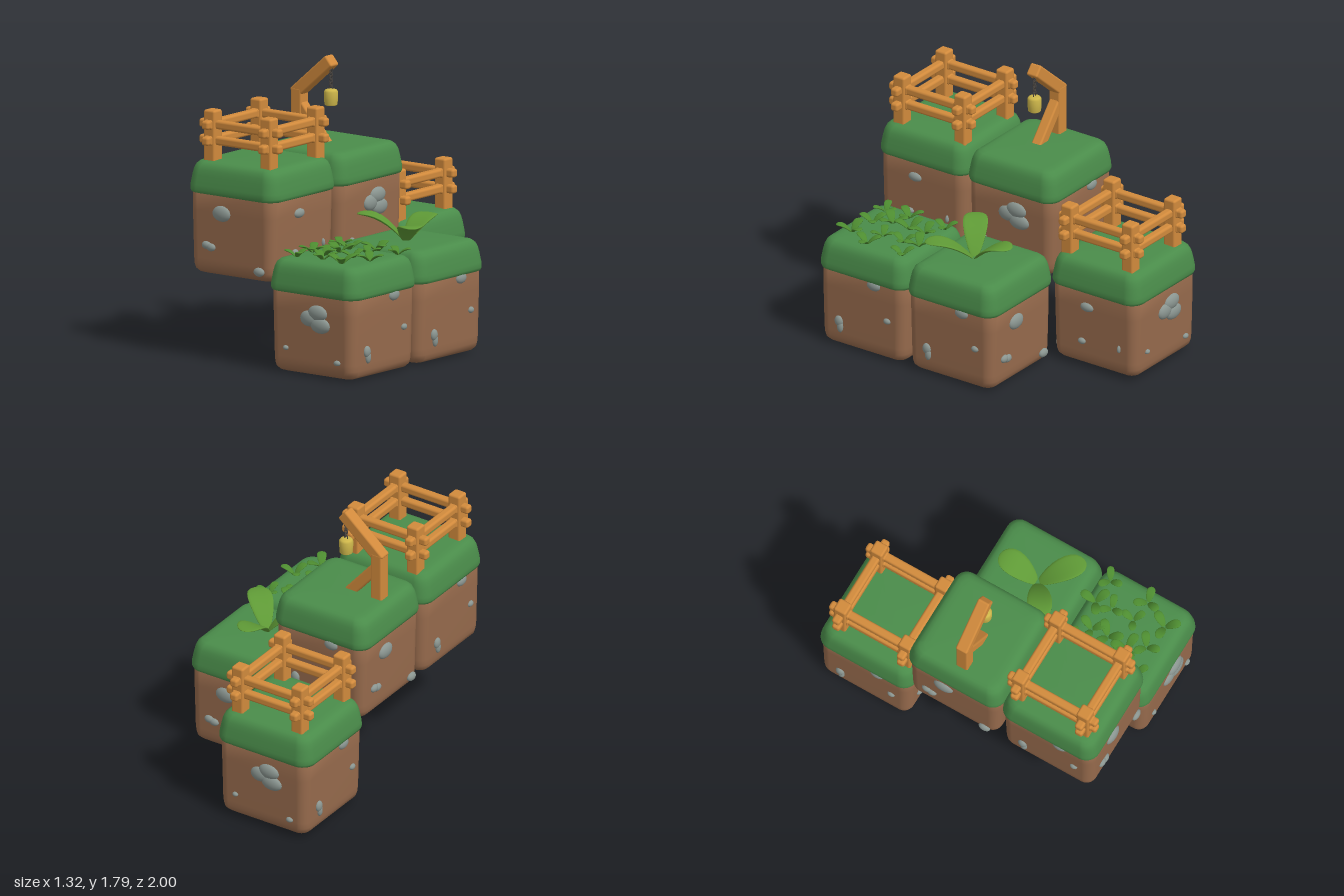
import * as THREE from 'three';
import { RoundedBoxGeometry } from 'three/addons/geometries/RoundedBoxGeometry.js';

const mat = (color, side = THREE.FrontSide) => new THREE.MeshStandardMaterial({ color, side });
const M = {
  grass: mat(0x4a8c4a), dirt: mat(0x966a4c), rock: mat(0x8a9590), wood: mat(0xd18a3c),
  leaf: mat(0x5f9a36), sprout: mat(0x4d8c30), brass: mat(0xcdb64a), iron: mat(0x4a4540),
};

function add(parent, name, geometry, material, x = 0, y = 0, z = 0) {
  const mesh = new THREE.Mesh(geometry, material);
  mesh.name = name;
  mesh.position.set(x, y, z);
  parent.add(mesh);
  return mesh;
}

function group(parent, name, x = 0, y = 0, z = 0) {
  const g = new THREE.Group();
  g.name = name;
  g.position.set(x, y, z);
  parent.add(g);
  return g;
}

// Stacks rounded rectangles, given as [inset, y] from bottom to top, into a soft solid
function softBlock(hx, hz, radius, profile) {
  const pos = [], index = [], seg = 6, n = 4 * (seg + 1);
  for (const [inset, y] of profile) {
    const r = Math.max(radius - inset * 0.5, 0.02);
    for (let q = 0; q < 4; q++) {
      const sx = q === 0 || q === 3 ? 1 : -1, sz = q < 2 ? 1 : -1;
      for (let i = 0; i <= seg; i++) {
        const a = (q + i / seg) * Math.PI / 2;
        pos.push(sx * (hx - inset - r) + r * Math.cos(a), y, sz * (hz - inset - r) + r * Math.sin(a));
      }
    }
  }
  const rings = profile.length;
  for (let k = 0; k < rings - 1; k++) {
    for (let i = 0; i < n; i++) {
      const a = k * n + i, b = k * n + (i + 1) % n;
      index.push(a, a + n, b, b, a + n, b + n);
    }
  }
  // caps
  const lo = pos.length / 3, hi = lo + 1, top = (rings - 1) * n;
  pos.push(0, profile[0][1], 0, 0, profile[rings - 1][1], 0);
  for (let i = 0; i < n; i++) {
    const j = (i + 1) % n;
    index.push(lo, i, j, hi, top + j, top + i);
  }
  const g = new THREE.BufferGeometry();
  g.setAttribute('position', new THREE.Float32BufferAttribute(pos, 3));
  g.setIndex(index);
  g.computeVertexNormals();
  return g;
}

const dirtGeo = softBlock(0.325, 0.32, 0.07, [
  [0.1, 0], [0.065, 0.003], [0.035, 0.013], [0.016, 0.032], [0.009, 0.06], [0.006, 0.1], [0, 0.4], [0, 0.53], [0.04, 0.55]]);
const grassGeo = softBlock(0.345, 0.335, 0.09, [
  [0.05, 0.512], [0.02, 0.506], [0.006, 0.512], [0, 0.53], [0.002, 0.56], [0.012, 0.62], [0.02, 0.655],
  [0.032, 0.682], [0.052, 0.7], [0.08, 0.707], [0.12, 0.71]]);
const rockGeo = new THREE.SphereGeometry(1, 16, 12);

// Stones on the four sides, turning from +z to +x: [across, up, half width, half height]
const stones = [
  [[-0.065, 0.4, 0.07, 0.05], [-0.185, 0.19, 0.034, 0.025], [-0.15, 0.18, 0.035, 0.025], [0.225, 0.07, 0.04, 0.028]],
  [[-0.045, 0.41, 0.05, 0.03], [-0.085, 0.17, 0.028, 0.02], [0.195, 0.19, 0.012, 0.025]],
  [[0.055, 0.405, 0.075, 0.05], [-0.015, 0.365, 0.065, 0.05], [0.075, 0.33, 0.075, 0.05],
    [-0.195, 0.16, 0.02, 0.015], [0.205, 0.11, 0.024, 0.017]],
  [[0.095, 0.49, 0.05, 0.035], [0.195, 0.275, 0.026, 0.02], [-0.17, 0.175, 0.03, 0.036], [-0.16, 0.14, 0.022, 0.04]],
];

function block(parent, name, x, y, z, turn) {
  const g = group(parent, name, x, y, z);
  add(g, 'dirt', dirtGeo, M.dirt);
  add(g, 'grassCap', grassGeo, M.grass);
  stones.forEach((list, side) => {
    const angle = (side + turn) * Math.PI / 2;
    const face = group(g, 'stones');
    face.rotation.y = angle;
    const out = (side + turn) % 2 ? 0.322 : 0.317;
    for (const [u, v, w, h] of list) {
      add(face, 'stone', rockGeo, M.rock, u, v, out).scale.set(w, h, 0.012 + w * 0.25);
    }
  });
}

// Square fence: four posts, two rails per side
function fence(parent, name, x, y, z) {
  const g = group(parent, name, x, y, z);
  const post = new RoundedBoxGeometry(0.085, 0.36, 0.085, 3, 0.014);
  const railX = new RoundedBoxGeometry(0.625, 0.054, 0.054, 3, 0.016);
  const railZ = new RoundedBoxGeometry(0.054, 0.054, 0.635, 3, 0.016);
  const peg = new RoundedBoxGeometry(0.06, 0.06, 0.115, 3, 0.014);
  for (const s of [-1, 1]) {
    for (const t of [-1, 1]) {
      add(g, 'post', post, M.wood, s * 0.22, 0.13, t * 0.23);
      for (const h of [0.12, 0.22]) add(g, 'peg', peg, M.wood, s * 0.22, h, t * 0.23);
    }
    for (const h of [0.12, 0.22]) {
      add(g, 'rail', railX, M.wood, 0, h, s * 0.23);
      add(g, 'rail', railZ, M.wood, s * 0.22, h, 0);
    }
  }
}

// Leaf along +x: a ball stretched along an arched spine
function leafGeometry(length, width, rise, thick) {
  const g = new THREE.SphereGeometry(1, 14, 12).rotateZ(Math.PI / 2);
  const p = g.attributes.position;
  for (let i = 0; i < p.count; i++) {
    const t = (p.getX(i) + 1) / 2, across = p.getZ(i);
    p.setXYZ(i, length * t,
      rise * (2.2 * t - 1.2 * t * t) + p.getY(i) * thick + 0.12 * width * across * across,
      across * width * (0.65 + 0.5 * t));
  }
  g.computeVertexNormals();
  return g;
}

function beam(parent, name, from, to, size) {
  const a = new THREE.Vector3(...from), b = new THREE.Vector3(...to);
  const mesh = add(parent, name, new RoundedBoxGeometry(size, a.distanceTo(b), size, 3, 0.012), M.wood);
  mesh.position.copy(a).lerp(b, 0.5);
  mesh.quaternion.setFromUnitVectors(new THREE.Vector3(0, 1, 0), b.sub(a).normalize());
}

export function createModel() {
  const model = new THREE.Group();
  model.name = 'gardenBlocks';

  block(model, 'backBlock', -0.315, 0.02, -0.655, 0);
  block(model, 'raisedMiddleBlock', -0.31, 0.54, -0.025, 3);
  block(model, 'raisedFrontBlock', -0.315, 0.54, 0.645, 0);
  block(model, 'lowMiddleBlock', 0.315, 0.005, -0.02, 2);
  block(model, 'lowFrontBlock', 0.315, 0.005, 0.645, 2);

  fence(model, 'frontFence', -0.31, 1.25, 0.63);
  fence(model, 'backFence', -0.31, 0.73, -0.64);

  // Post with arm, brace, chain and lantern
  const hanger = group(model, 'lanternPost');
  beam(hanger, 'post', [-0.53, 1.2, 0], [-0.53, 1.565, 0], 0.082);
  beam(hanger, 'arm', [-0.555, 1.525, 0], [-0.275, 1.765, 0], 0.08);
  beam(hanger, 'brace', [-0.53, 1.47, 0], [-0.31, 1.21, 0], 0.07);
  const link = new THREE.TorusGeometry(0.011, 0.0035, 6, 12);
  for (let i = 0; i < 7; i++) {
    const ring = add(hanger, 'chainLink', link, M.iron, -0.285, 1.71 - i * 0.02, 0);
    ring.scale.y = 1.3;
    ring.rotation.y = i % 2 ? Math.PI / 2 : 0;
  }
  const profile = [[0, 0], [0.034, 0], [0.041, 0.006], [0.042, 0.04], [0.044, 0.046], [0.044, 0.085], [0.036, 0.097], [0.02, 0.102], [0, 0.102]];
  add(hanger, 'lantern', new THREE.LatheGeometry(profile.map(([r, y]) => new THREE.Vector2(r, y)), 20), M.brass, -0.285, 1.48, 0);

  // Large plant: [turn, length, half width, rise]
  const plant = group(model, 'largePlant', 0.315, 0.7, 0.02);
  for (const [turn, length, width, rise] of [[1.58, 0.27, 0.09, 0.14], [3.74, 0.3, 0.085, 0.175], [-0.77, 0.31, 0.085, 0.14]]) {
    add(plant, 'leaf', leafGeometry(length, width, rise, 0.014), M.leaf).rotation.y = turn;
  }

  // Patch of small three-leaf sprouts: [x, z, turn]
  const patch = group(model, 'sproutPatch');
  const small = leafGeometry(0.092, 0.029, 0.05, 0.008);
  const spots = [[0.1, 0.4, 0.3], [0.22, 0.46, 1.2], [0.385, 0.39, 1.6], [0.55, 0.4, 0.5], [0.1, 0.67, 2.1], [0.23, 0.57, 0.8],
    [0.4, 0.65, 1.5], [0.545, 0.67, 0.2], [0.22, 0.71, 1.9], [0.11, 0.84, 1.4], [0.29, 0.81, 0.6], [0.46, 0.84, 1.1], [0.4, 0.5, 2.4]];
  spots.forEach(([x, z, turn], i) => {
    const sprout = group(patch, 'sprout', x, 0.705, z);
    sprout.scale.setScalar(0.9 + 0.1 * (i % 3));
    for (let k = 0; k < 3; k++) add(sprout, 'leaf', small, M.sprout).rotation.y = turn + k * 2.1;
  });
  return model;
}
